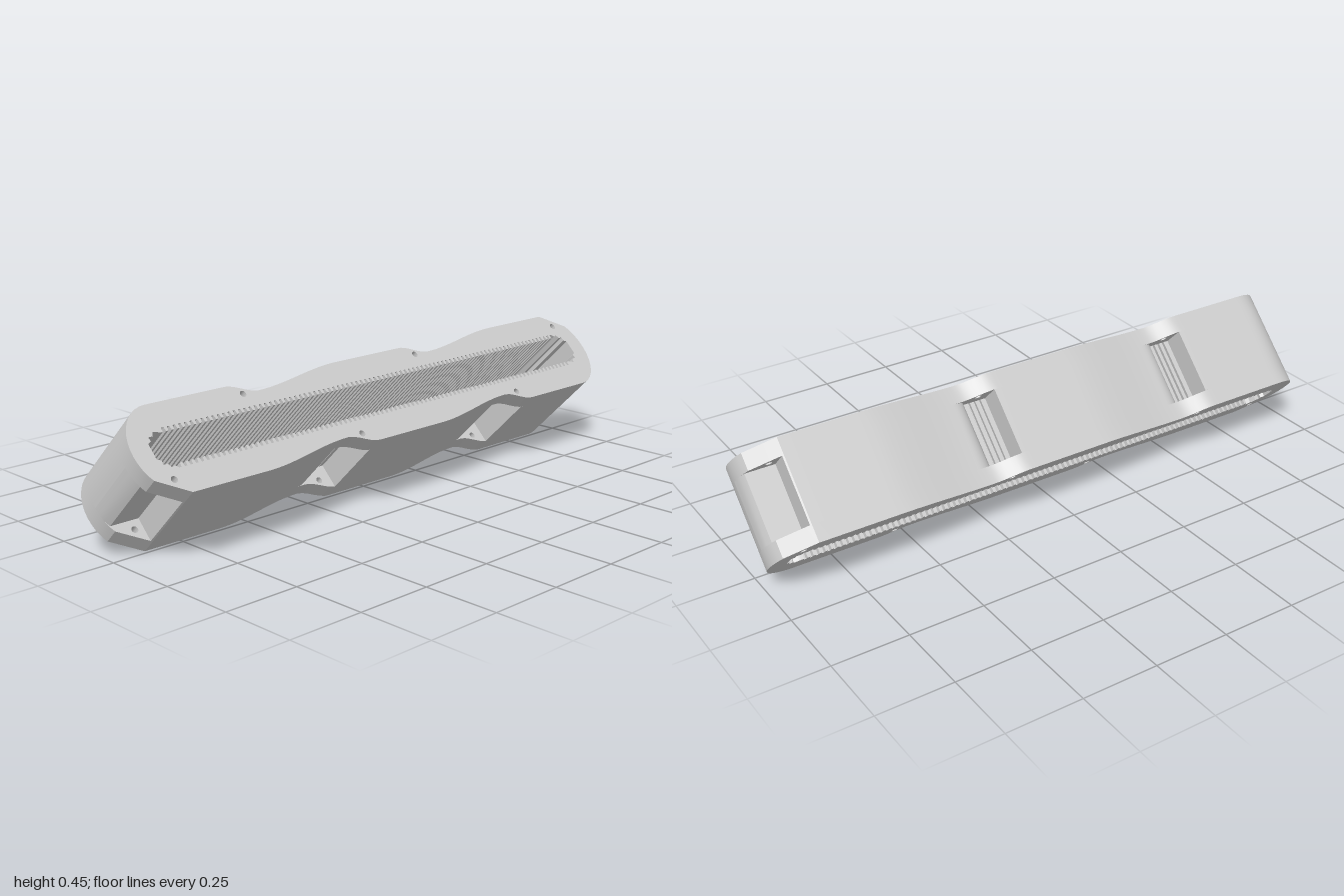
import * as THREE from 'three';
import { toCreasedNormals } from 'three/addons/utils/BufferGeometryUtils.js';

// Section coordinates: (length, width); the section is swept along the depth axis.
const HALF_W = 0.148, FLOOR = 0.066, TIP = 0.052;
const DEPTH = 0.1675, POCKET = 0.11;      // half depth of the body and of the pockets
const PINS = [0.2, -0.54];                // hinge positions along one side
const END_PIN = [0.915, 0.097];

const smooth = (t) => t * t * (3 - 2 * t);

// Finger-grip dip beside each hinge: steep on one side, slow on the other
function dip(t) {
  if (t < -0.05 || t > 0.4) return 0;
  return 0.036 * (t < 0.06 ? smooth((t + 0.05) / 0.11) : 1 - smooth((t - 0.06) / 0.34));
}

// Half width of the body at a given length
function edge(z) {
  if (Math.abs(z) > 0.88) {
    const t = Math.min(1, (Math.abs(z) - 0.88) / 0.12);
    const round = HALF_W * Math.sqrt(1 - t * t);
    return z > 0 ? Math.min(round, HALF_W - (z - 0.88) * 0.64) : round;
  }
  return HALF_W - PINS.reduce((s, p) => s + dip(z - p), 0);
}

// Outline of one side, from the +end to the -end
function sideOutline() {
  const zs = [];
  for (let i = 0; i < 10; i++) zs.push(0.88 + 0.12 * Math.cos((i / 10) * Math.PI / 2));
  for (let i = 0; i <= 88; i++) zs.push(0.88 - i * 0.02);
  for (let i = 1; i <= 10; i++) zs.push(-0.88 - 0.12 * Math.sin((i / 10) * Math.PI / 2));
  return zs.map((z) => [z, edge(z)]);
}

const slotEnd = [[0.935, 0], [0.935, 0.026], [0.922, 0.032], [0.924, 0.046], [0.908, 0.046], [0.902, 0.06], [0.89, 0.056]];

// Ribbed slot wall of one side; split = true breaks it where grooves open into a pocket
function slotLines(split) {
  const lines = [[...slotEnd]];
  const last = () => lines[lines.length - 1];
  for (let i = 0; i < 88; i++) {
    const z = 0.88 - i * 0.02;
    last().push([z, FLOOR]);
    if (split && PINS.some((p) => Math.abs(z - p) < 0.03)) lines.push([]);
    last().push([z - 0.008, FLOOR], [z - 0.01, TIP], [z - 0.018, TIP]);
  }
  last().push(...slotEnd.slice().reverse().map(([z, w]) => [-z, w]));
  return lines;
}

// Outer wall of one side in the middle layer, cut by the pockets
function coreLines() {
  const outline = sideOutline();
  const between = (hi, lo) => outline.filter(([z]) => z < hi - 1e-4 && z > lo + 1e-4);
  const lines = [];
  // rounded end, then the open end pocket
  let line = outline.filter(([z, w]) => z > 0.95 && w < FLOOR);
  line.push([0.984, FLOOR], [0.885, FLOOR], [0.885, edge(0.885)]);
  let from = 0.885;
  for (const p of PINS) {
    const top = p + 0.095, foot = p + 0.04, back = p - 0.045;
    line.push(...between(from, top));
    // concave ramp into the pocket
    for (let i = 0; i <= 8; i++) {
      const a = (i / 8) * Math.PI / 2;
      line.push([top - (top - foot) * Math.sin(a), edge(top) - (edge(top) - FLOOR) * (1 - Math.cos(a))]);
    }
    // floor bars between the windows
    line.push([p + 0.02, FLOOR]);
    lines.push(line, [[p + 0.012, FLOOR], [p, FLOOR]], [[p - 0.008, FLOOR], [p - 0.02, FLOOR]]);
    line = [[p - 0.028, FLOOR], [back, FLOOR], [back, edge(back)]];
    from = back;
  }
  line.push(...between(from, -1), [-1, 0]);
  lines.push(line);
  return lines;
}

// Upright wall along polylines, facing to the right of travel
function wall(lines, h) {
  const pos = [];
  for (const l of lines) {
    for (let i = 0; i + 1 < l.length; i++) {
      const [a, b] = [l[i], l[i + 1]];
      pos.push(...a, -h, ...b, -h, ...b, h, ...a, -h, ...b, h, ...a, h);
    }
  }
  const g = new THREE.BufferGeometry();
  g.setAttribute('position', new THREE.Float32BufferAttribute(pos, 3));
  return toCreasedNormals(g, 0.5);
}

// Full-outline plate with the slot and the pin holes
function plateGeometry() {
  const closed = (half) => [...half.slice(0, -1), ...half.slice(0, -1).map(([z, w]) => [-z, -w])]
    .map(([z, w]) => new THREE.Vector2(z, w));
  const shape = new THREE.Shape(closed(sideOutline()));
  shape.holes.push(new THREE.Path(closed(slotLines(false)[0]).reverse()));
  for (const [z, w] of [...PINS.map((p) => [p, 0.112]), END_PIN]) {
    for (const s of [1, -1]) {
      shape.holes.push(new THREE.Path().absarc(s * z, s * w, 0.011, 0, Math.PI * 2, true));
    }
  }
  const g = new THREE.ExtrudeGeometry(shape, { depth: DEPTH - POCKET, bevelEnabled: false, curveSegments: 8 });
  return toCreasedNormals(g, 0.5);
}

export function createModel() {
  const material = new THREE.MeshStandardMaterial({ color: 0xcccccc });
  const model = new THREE.Group();
  model.name = 'slottedHandle';
  const body = new THREE.Group();
  body.name = 'body';
  model.add(body);

  const add = (name, geometry) => {
    const mesh = new THREE.Mesh(geometry, material);
    mesh.name = name;
    body.add(mesh);
    return mesh;
  };

  // Two cheek plates closing the pockets
  const plate = plateGeometry();
  add('upperPlate', plate).position.z = POCKET;
  add('lowerPlate', plate).position.z = -DEPTH;

  // Middle layer: the second side is the first turned half round
  const outer = wall(coreLines(), POCKET);
  const inner = wall(slotLines(true).map((l) => l.slice().reverse()), POCKET);
  for (const [side, turn] of [['right', 0], ['left', Math.PI]]) {
    add(side + 'PocketWall', outer).rotation.z = turn;
    add(side + 'RibbedSlotWall', inner).rotation.z = turn;
  }

  // Length along z, depth axis tilted 45 degrees up
  const r = Math.SQRT1_2;
  body.quaternion.setFromRotationMatrix(new THREE.Matrix4().makeBasis(
    new THREE.Vector3(0, 0, 1), new THREE.Vector3(r, -r, 0), new THREE.Vector3(r, r, 0)));
  body.position.y = 0.223;
  return model;
}
